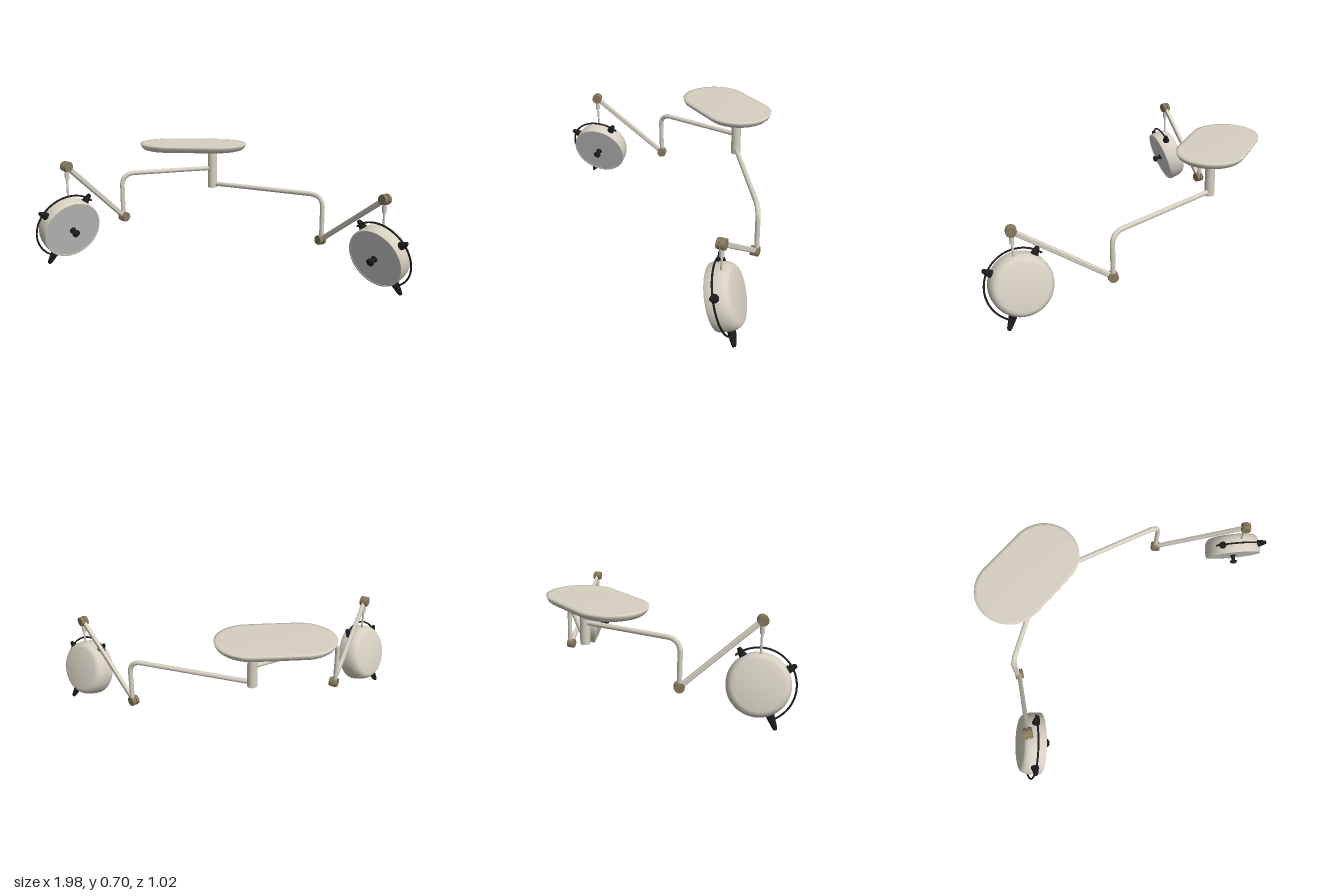
import * as THREE from 'three';
import { toCreasedNormals } from 'three/addons/utils/BufferGeometryUtils.js';
import { RoundedBoxGeometry } from 'three/addons/geometries/RoundedBoxGeometry.js';

const V = (x, y, z) => new THREE.Vector3(x, y, z);
const UP = V(0, 1, 0);
const mat = (color) => new THREE.MeshStandardMaterial({ color });
const ivory = mat(0xd6d0c2), bronze = mat(0x887b5f), black = mat(0x1c1c1c), glass = mat(0xd0d0d3);

function add(parent, name, geometry, material) {
  const mesh = new THREE.Mesh(geometry, material);
  mesh.name = name;
  parent.add(mesh);
  return mesh;
}

// Cylinder or cone between two points
function rod(parent, name, a, b, r0, r1, material) {
  const d = b.clone().sub(a);
  const mesh = add(parent, name, new THREE.CylinderGeometry(r1, r0, d.length(), 24), material);
  mesh.position.copy(a).addScaledVector(d, 0.5);
  mesh.quaternion.setFromUnitVectors(UP, d.normalize());
  return mesh;
}

function lathe(points, segments) {
  const profile = points.map(([r, y]) => new THREE.Vector2(r, y));
  return new THREE.LatheGeometry(profile, segments);
}

// Stadium-shaped plate: a turned dish with its two halves pulled apart
function ceilingPlate() {
  const g = lathe([[0, 0.645], [0.157, 0.645], [0.171, 0.649], [0.183, 0.659], [0.19, 0.672],
    [0.193, 0.685], [0.175, 0.686], [0, 0.686]], 64);
  const p = g.attributes.position;
  for (let i = 0; i < p.count; i++) {
    const x = p.getX(i);
    if (Math.abs(x) > 1e-4) p.setX(i, x + Math.sign(x) * 0.13);
  }
  return g;
}

// Pivot of two discs on a core, turned about a horizontal axis
function joint(parent, name, at, axis) {
  const group = new THREE.Group();
  group.name = name;
  parent.add(group);
  const p = (t) => at.clone().addScaledVector(axis, t);
  rod(group, 'jointCore', p(-0.02), p(0.02), 0.022, 0.022, bronze);
  for (const s of [-1, 1]) rod(group, 'jointDisc', p(s * 0.004), p(s * 0.022), 0.029, 0.027, bronze);
}

// Lamp head; local y is the beam direction
function lampHead(side) {
  const lamp = new THREE.Group();
  lamp.name = 'lampHead';
  const shell = lathe([[0, -0.064], [0.128, -0.063], [0.142, -0.059], [0.153, -0.048], [0.161, -0.031],
    [0.165, -0.01], [0.166, 0.02], [0.166, 0.044], [0.163, 0.051], [0.155, 0.051], [0.153, 0.046]], 64);
  add(lamp, 'lampShell', toCreasedNormals(shell, 0.8), ivory);
  add(lamp, 'lampLens', new THREE.CylinderGeometry(0.155, 0.155, 0.01, 64), glass).position.y = 0.044;

  // Central grip
  const grip = lathe([[0, 0.045], [0.018, 0.045], [0.018, 0.053], [0.011, 0.057], [0.011, 0.08],
    [0.021, 0.083], [0.021, 0.092], [0.012, 0.1], [0, 0.102]], 20);
  add(lamp, 'centralGrip', toCreasedNormals(grip, 0.6), black);

  // Half-ring rail and its three handles
  const arc = 3.5;
  const rail = new THREE.TorusGeometry(0.188, 0.005, 10, 64, arc);
  add(lamp, 'handleRail', rail.rotateZ(-arc / 2).rotateX(Math.PI / 2), black);
  const handles = [[-1.57, 0.212], [0, 0.212], [1.7, 0.242]];
  for (const [angle, tip] of handles) {
    const dir = V(Math.cos(angle), 0, Math.sin(angle) * side);
    const p = (t) => dir.clone().multiplyScalar(t);
    rod(lamp, 'rimHandle', p(0.158), p(tip - 0.012), 0.023, 0.013, black);
    rod(lamp, 'rimHandleTip', p(tip - 0.012), p(tip), 0.013, 0.009, black);
  }

  // Aim the beam inward and down, with the middle handle on the outer upper rim
  const n = V(-0.665 * side, -0.29, 0.69).normalize();
  const out = V(0.58 * side, 0.53, 0.64);
  out.addScaledVector(n, -out.dot(n)).normalize();
  lamp.quaternion.setFromRotationMatrix(
    new THREE.Matrix4().makeBasis(out, n, out.clone().cross(n)));
  return lamp;
}

function lampArm(name, side, armY, elbow, top, lampAt) {
  const arm = new THREE.Group();
  arm.name = name;
  const d = top.clone().sub(elbow);
  const axis = V(d.z, 0, -d.x).normalize();

  // Bent tube from the column down to the outer disc of the elbow
  const foot = elbow.clone().addScaledVector(axis, side * 0.008);
  const start = V(-0.10, armY, -0.31), corner = V(foot.x, armY, foot.z);
  const before = corner.clone().addScaledVector(corner.clone().sub(start).normalize(), -0.075);
  const after = corner.clone().addScaledVector(UP, -0.075);
  const path = new THREE.CurvePath();
  path.add(new THREE.LineCurve3(start, before));
  path.add(new THREE.QuadraticBezierCurve3(before, corner, after));
  path.add(new THREE.LineCurve3(after, foot));
  add(arm, 'swingTube', new THREE.TubeGeometry(path, 120, 0.0135, 16), ivory);

  // Sloping spring arm between two pivots
  const beam = add(arm, 'springArm', new RoundedBoxGeometry(0.022, d.length(), 0.028, 3, 0.007), ivory);
  beam.position.copy(elbow).addScaledVector(d, 0.5);
  const along = d.clone().normalize();
  beam.quaternion.setFromRotationMatrix(
    new THREE.Matrix4().makeBasis(axis, along, axis.clone().cross(along)));
  joint(arm, 'elbowJoint', elbow, axis);
  joint(arm, 'upperJoint', top, axis);

  // Hanger and lamp
  const down = (t) => V(top.x, top.y - t, top.z);
  rod(arm, 'hangerSleeve', down(0.01), down(0.07), 0.012, 0.012, ivory);
  rod(arm, 'hangerRod', down(0.065), down(top.y - lampAt.y - 0.1), 0.006, 0.006, ivory);
  const lamp = lampHead(side);
  lamp.position.copy(lampAt);
  arm.add(lamp);
  return arm;
}

export function createModel() {
  const model = new THREE.Group();
  model.name = 'ceilingLamp';
  add(model, 'ceilingPlate', ceilingPlate(), ivory).position.set(-0.218, 0, -0.311);
  rod(model, 'column', V(-0.10, 0.412, -0.308), V(-0.10, 0.66, -0.308), 0.028, 0.028, ivory);
  model.add(
    lampArm('leftArm', 1, 0.435, V(0.554, 0.173, -0.011), V(0.85, 0.506, 0.387), V(0.845, 0.204, 0.357)),
    lampArm('rightArm', -1, 0.532, V(-0.605, 0.274, -0.067), V(-0.837, 0.629, 0.262), V(-0.846, 0.293, 0.25)),
  );
  return model;
}
